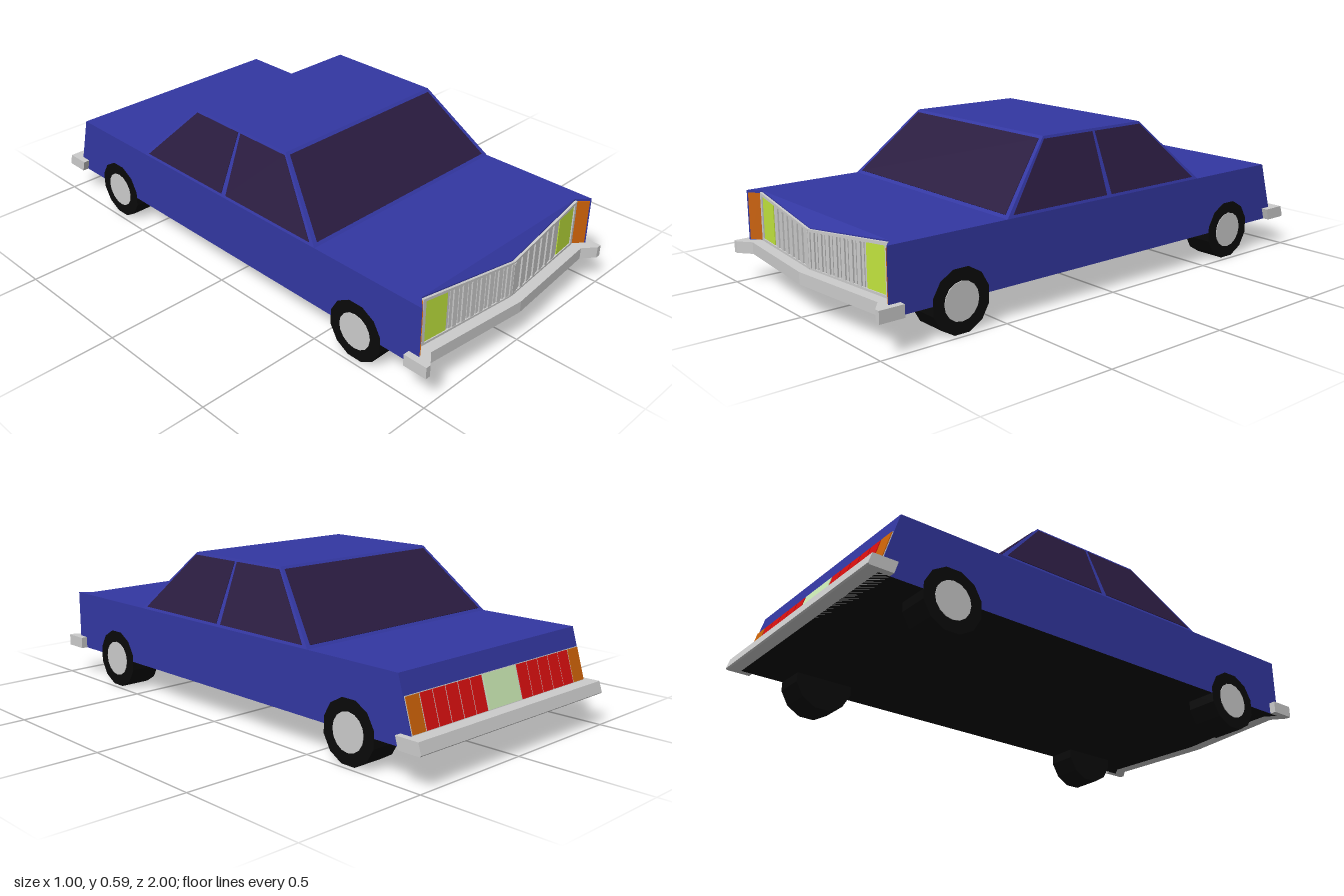
import * as THREE from 'three';

const mat = (color) => new THREE.MeshStandardMaterial({ color, flatShading: true });

// Flat-faced geometry from convex polygons (corners counter-clockwise from outside)
function facets(polys) {
  const pos = [];
  for (const p of polys)
    for (let i = 1; i < p.length - 1; i++) pos.push(...p[0], ...p[i], ...p[i + 1]);
  const g = new THREE.BufferGeometry();
  g.setAttribute('position', new THREE.Float32BufferAttribute(pos, 3));
  g.computeVertexNormals();
  return g;
}

// Mirror a polygon across x = 0, keeping it facing outwards (quads stay bl, br, tr, tl)
const flip = (p) => {
  const m = p.map(([x, y, z]) => [-x, y, z]);
  return m.length === 4 ? [m[1], m[0], m[3], m[2]] : m.reverse();
};

// Thin raised plate covering part of a quad face [bl, br, tr, tl]
function plate(face, u0, u1, v0, v1, depth) {
  const [bl, br, tr, tl] = face.map((c) => new THREE.Vector3(...c));
  const n = br.clone().sub(bl).cross(tl.clone().sub(bl)).normalize().multiplyScalar(depth);
  const at = (u, v) => bl.clone().lerp(br, u).lerp(tl.clone().lerp(tr, u), v);
  const base = [at(u0, v0), at(u1, v0), at(u1, v1), at(u0, v1)];
  const top = base.map((p) => p.clone().add(n).toArray());
  const low = base.map((p) => p.toArray());
  const polys = [top];
  for (let i = 0; i < 4; i++) {
    const j = (i + 1) % 4;
    polys.push([low[i], low[j], top[j], top[i]]);
  }
  return facets(polys);
}

export function createModel() {
  const car = new THREE.Group();
  car.name = 'car';
  const blue = mat(0x3337a2), glass = mat(0x2a1b40), grey = mat(0xcccccc), black = mat(0x0a0a0a);
  const orange = mat(0xcc6208), red = mat(0xd81010), lime = mat(0xc3e63e), pale = mat(0xcbeab4);
  const add = (name, geo, material) => {
    const m = new THREE.Mesh(geo, material);
    m.name = name;
    car.add(m);
    return m;
  };
  // Plate on a face and on its mirror image
  const pair = (name, face, u0, u1, v0, v1, d, material) => {
    add(name + 'Left', plate(face, u0, u1, v0, v1, d), material);
    add(name + 'Right', plate(flip(face), 1 - u1, 1 - u0, v0, v1, d), material);
  };

  const W = 0.475, B = 0.12, T = 0.355, F = 0.95, N = 0.91, K = 0.43;

  // Lower body with V-shaped nose and pointed fender tips
  const side = [[W, B, F], [W, B, -F], [W, T, -0.88], [W, T, F]];
  const tipFace = [[K, B, N], [W, B, F], [W, T, F], [K, T, N]];
  const noseFace = [[0, B, F], [K, B, N], [K, T, N], [0, 0.31, F]];
  const tipTop = [[K, T, N], [W, T, F], [W, T, N]];
  const rear = [[W, B, -F], [-W, B, -F], [-W, T, -0.88], [W, T, -0.88]];
  add('body', facets([
    [[-W, T, N], [W, T, N], [W, T, -0.88], [-W, T, -0.88]],
    [[0, 0.31, F], [K, T, N], [-K, T, N]],
    side, flip(side), tipFace, flip(tipFace), noseFace, flip(noseFace),
    tipTop, flip(tipTop), rear,
  ]), blue);

  // Black underside following the same outline
  const tipUnder = [[K, B, N], [W, B, N], [W, B, F]];
  add('underbody', facets([
    [[-W, B, -F], [W, B, -F], [W, B, N], [-W, B, N]],
    [[0, B, F], [-K, B, N], [K, B, N]],
    tipUnder, flip(tipUnder),
  ]), black);

  // Cabin
  const R = 0.595, rx = 0.38, rz = 0.238;
  const cabFront = [[-W, T, W], [W, T, W], [rx, R, rz], [-rx, R, rz]];
  const cabBack = [[W, T, -W], [-W, T, -W], [-rx, R, -rz], [rx, R, -rz]];
  const cabSide = [[W, T, W], [W, T, -W], [rx, R, -rz], [rx, R, rz]];
  const roof = [[-rx, R, rz], [rx, R, rz], [rx, R, -rz], [-rx, R, -rz]];
  add('cabin', facets([cabFront, cabBack, cabSide, flip(cabSide), roof]), blue);

  // Windows
  add('windscreen', plate(cabFront, 0.02, 0.98, 0.04, 0.96, 0.002), glass);
  add('rearWindow', plate(cabBack, 0.02, 0.98, 0.04, 0.96, 0.002), glass);
  pair('frontSideWindow', cabSide, 0.02, 0.487, 0.04, 0.96, 0.002, glass);
  pair('rearSideWindow', cabSide, 0.513, 0.98, 0.04, 0.96, 0.002, glass);

  // Grille, bezel and headlights on each half of the nose
  const g = [[0, 0.163, F], [K, 0.163, N], [K, 0.35, N], [0, 0.307, F]];
  pair('grilleBacking', g, 0.02, 0.74, 0.05, 0.95, 0.002, grey);
  const slats = 14, pitch = 0.7 / slats;
  for (let i = 0; i < slats; i++) {
    const u = 0.03 + i * pitch;
    pair('grilleSlat' + (i + 1), g, u, u + pitch * (i % 2 ? 0.55 : 0.8), 0.05, 0.95, i % 2 ? 0.005 : 0.008, grey);
  }
  pair('headlight', g, 0.735, 0.965, 0.06, 0.95, 0.005, lime);
  pair('bezelTop', g, 0, 1, 0.94, 1, 0.009, grey);
  pair('bezelBottom', g, 0, 1, 0, 0.06, 0.009, grey);
  pair('bezelSide', g, 0.97, 1, 0.06, 0.94, 0.009, grey);
  pair('bezelCentre', g, 0, 0.025, 0.06, 0.94, 0.011, grey);
  pair('frontMarker', tipFace, 0.1, 0.9, 0.2, 0.96, 0.003, orange);

  // Tail lights and number plate on the sloped rear panel
  add('rearPanel', plate(rear, 0.004, 0.996, 0.19, 0.7, 0.002), grey);
  pair('rearMarker', rear, 0.006, 0.07, 0.2, 0.69, 0.005, orange);
  for (let i = 0; i < 5; i++) {
    const u = 0.077 + i * 0.0655;
    pair('tailLight' + (i + 1), rear, u, u + 0.059, 0.2, 0.69, 0.005, red);
  }
  add('numberPlate', plate(rear, 0.406, 0.594, 0.2, 0.69, 0.005), pale);

  // Front bumper, bent to follow the nose
  const half = [[0.43, 0.96], [0.48, 1], [0.5, 1], [0.5, 0.905], [W, 0.905], [W, 0.945], [0.43, 0.905]];
  const outline = [[0, 1], ...half, [0, 0.945], ...half.map(([x, z]) => [-x, z]).reverse()];
  const frontBumper = new THREE.ExtrudeGeometry(
    new THREE.Shape(outline.map((p) => new THREE.Vector2(...p))), { depth: 0.045, bevelEnabled: false });
  frontBumper.rotateX(Math.PI / 2).translate(0, 0.165, 0);
  add('frontBumper', frontBumper, grey);

  // Rear bumper, a slanted bar
  const profile = [[-0.893, 0.165], [-0.987, 0.165], [-1, 0.125], [-0.995, 0.12], [-0.907, 0.12]];
  const rearBumper = new THREE.ExtrudeGeometry(
    new THREE.Shape(profile.map((p) => new THREE.Vector2(...p))), { depth: 1, bevelEnabled: false });
  rearBumper.rotateY(-Math.PI / 2).translate(0.5, 0, 0);
  add('rearBumper', rearBumper, grey);

  // Wheels with hub discs
  for (const [end, z] of [['front', 0.67], ['rear', -0.67]])
    for (const [name, s] of [['Left', 1], ['Right', -1]]) {
      const wheel = new THREE.Group();
      wheel.name = end + 'Wheel' + name;
      const tyre = new THREE.Mesh(
        new THREE.CylinderGeometry(0.117, 0.117, 0.121, 12).rotateX(0).rotateY(Math.PI / 12).rotateZ(Math.PI / 2), black);
      tyre.name = 'tyre';
      const hub = new THREE.Mesh(
        new THREE.CylinderGeometry(0.07, 0.07, 0.02, 16).rotateZ(Math.PI / 2), grey);
      hub.name = 'hub';
      hub.position.x = s * 0.053;
      wheel.add(tyre, hub);
      wheel.position.set(s * 0.416, 0.115, z);
      car.add(wheel);
    }
  return car;
}
